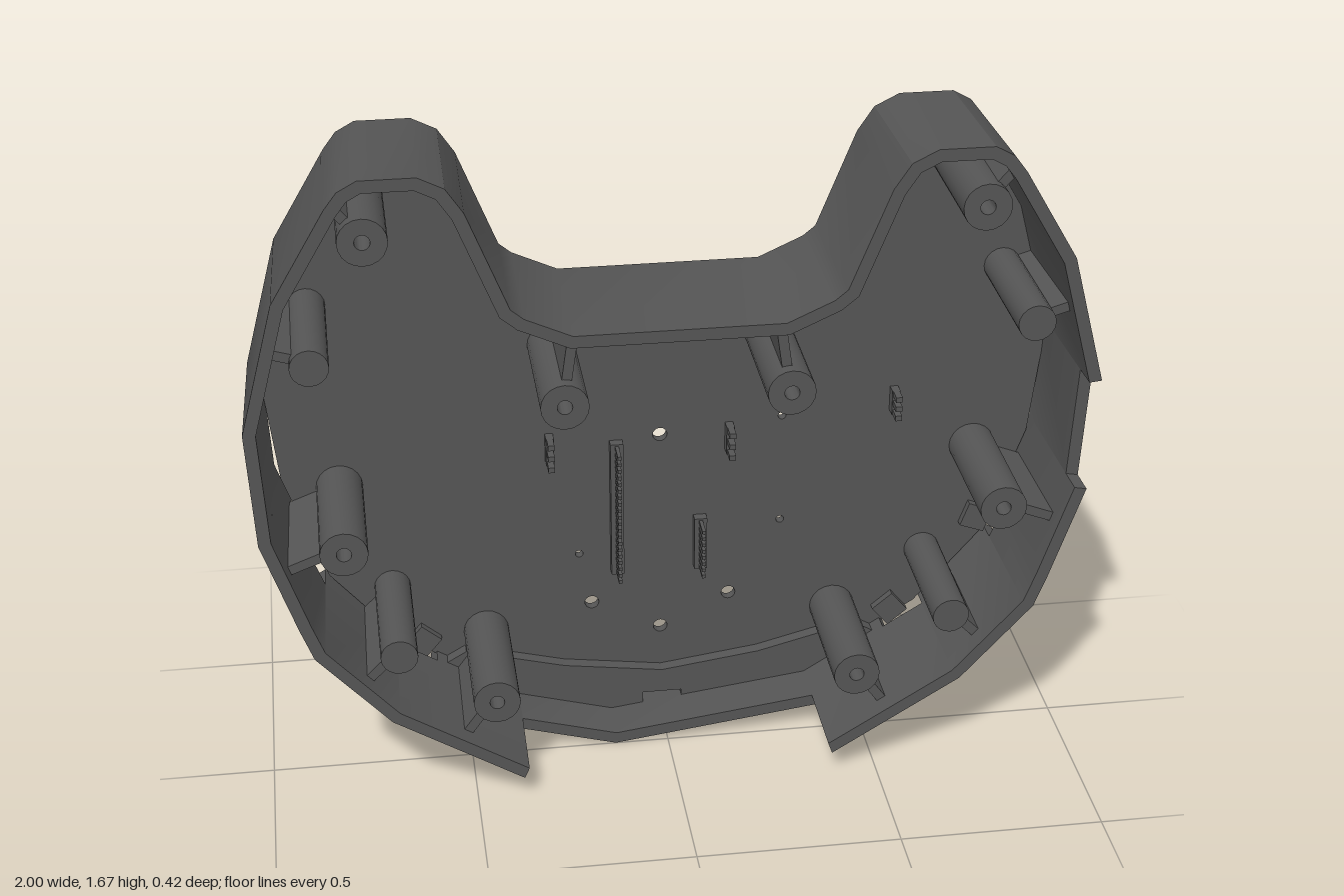
import * as THREE from 'three';
import { mergeGeometries, toCreasedNormals } from 'three/addons/utils/BufferGeometryUtils.js';

const FRONT = 0.21, BACK = -0.17, BOARD = -0.142;
const material = new THREE.MeshStandardMaterial({ color: 0x555555 });

export function createModel() {
  const model = new THREE.Group();
  const add = (geometry, name, x = 0, y = 0, z = 0, parent = model) => {
    const mesh = new THREE.Mesh(geometry, material);
    mesh.name = name;
    mesh.position.set(x, y, z);
    parent.add(mesh);
    return mesh;
  };
  const group = (name) => {
    const g = new THREE.Group();
    g.name = name;
    model.add(g);
    return g;
  };
  const mirror = (pts) => pts.map(([x, y]) => [-x, y]).reverse();

  // Outline of the housing, counterclockwise from the bottom
  const half = [[0.385, 0.07], [0.595, 0.2], [0.7, 0.265], [0.875, 0.46], [0.905, 0.54], [0.985, 0.78],
    [1, 1.07], [0.915, 1.39], [0.785, 1.61], [0.755, 1.65], [0.71, 1.675], [0.58, 1.675], [0.52, 1.645],
    [0.48, 1.585], [0.385, 1.345], [0.355, 1.32], [0.245, 1.27]];
  const H = half.length;
  const outline = [...half, ...mirror(half), [-0.135, 0]];
  const N = outline.length;

  // Point on the wall, moved inward along the corner bisector, with a slight draft to the back
  const wallPoint = (i, inset, z) => {
    const p = new THREE.Vector2(...outline[i % N]);
    const d1 = p.clone().sub(new THREE.Vector2(...outline[(i + N - 1) % N])).normalize();
    const d2 = new THREE.Vector2(...outline[(i + 1) % N]).sub(p).normalize();
    const n = new THREE.Vector2(-d1.y - d2.y, d1.x + d2.x).normalize();
    p.addScaledVector(n, inset / (n.x * -d1.y + n.y * d1.x));
    const s = 1 - 0.012 * (FRONT - z) / (FRONT - BACK);
    return [p.x * s, 0.9 + (p.y - 0.9) * s, z];
  };

  // Wall: one block per outline segment; shortened blocks form the openings
  const positions = [];
  const quad = (a, b, c, d) => positions.push(...a, ...b, ...c, ...a, ...c, ...d);
  const wallBlock = (i, back, front, t0, t1) => {
    const [oab, obb, obf, oaf] = [[i, back], [i + 1, back], [i + 1, front], [i, front]].map(([k, z]) => wallPoint(k, t0, z));
    const [iab, ibb, ibf, iaf] = [[i, back], [i + 1, back], [i + 1, front], [i, front]].map(([k, z]) => wallPoint(k, t1, z));
    quad(oab, obb, obf, oaf);
    quad(ibb, iab, iaf, ibf);
    quad(oaf, obf, ibf, iaf);
    quad(obb, oab, iab, ibb);
    quad(oab, oaf, iaf, iab);
    quad(obf, obb, ibb, ibf);
  };
  for (let i = 0; i < N; i++) {
    const seg = i < H ? i : 2 * H - 2 - i;
    const back = seg === 1 || seg === 3 ? -0.1 : BACK; // cable openings
    let front = FRONT;
    if (i >= 2 * H - 1) front = 0; // bottom cut-out
    if (i === 5) front = 0.14; // side notch
    wallBlock(i, back, front, 0, 0.03);
  }
  const wallGeometry = new THREE.BufferGeometry();
  wallGeometry.setAttribute('position', new THREE.Float32BufferAttribute(positions, 3));
  add(toCreasedNormals(wallGeometry, 0.5), 'housingWall');

  // Plates cut from a contour with round holes
  const plate = (pts, holes, z0, z1) => {
    const shape = new THREE.Shape(pts.map((p) => new THREE.Vector2(...p)));
    for (const [x, y, r] of holes) {
      const hole = new THREE.Path();
      hole.absarc(x, y, r, 0, Math.PI * 2, true);
      shape.holes.push(hole);
    }
    return new THREE.ExtrudeGeometry(shape, { depth: z1 - z0, bevelEnabled: false, curveSegments: 8 }).translate(0, 0, z0);
  };
  const bottomSlot = [[-0.13, 0.036], [-0.05, 0.045], [-0.05, 0.08], [0.05, 0.08], [0.05, 0.055]];

  // Back board, its edge a little away from the wall
  const boardHalf = [[0.37, 0.1], [0.66, 0.28], [0.83, 0.48], [0.93, 0.76], [0.957, 1.0], [0.94, 1.2], [0.87, 1.4],
    [0.755, 1.59], [0.7, 1.645], [0.59, 1.645], [0.54, 1.62], [0.505, 1.57], [0.41, 1.325], [0.365, 1.285], [0.25, 1.24]];
  const topGaps = [[0.05, 1.24], [0.05, 1.228], [-0.05, 1.228], [-0.05, 1.24]];
  const boardHoles = [[0, 0.815, 0.018], [-0.175, 0.345, 0.018], [0.175, 0.345, 0.018], [0, 0.26, 0.018],
    [-0.21, 0.905, 0.01], [0.305, 0.845, 0.01], [-0.205, 0.49, 0.01], [0.305, 0.55, 0.01],
    [0.84, 1.22, 0.015], [-0.84, 1.22, 0.015], [0.675, 0.435, 0.015], [-0.675, 0.435, 0.015]];
  add(plate([...boardHalf, ...topGaps, ...mirror(boardHalf), ...bottomSlot], boardHoles, -0.166, BOARD), 'backBoard');

  // Crescent ledge along the bottom of the board
  add(plate([[0.37, 0.09], [0.56, 0.21], [0.5, 0.245], [0.25, 0.18], [0, 0.145], [-0.25, 0.18], [-0.5, 0.245],
    [-0.56, 0.21], [-0.37, 0.09], ...bottomSlot], [], BOARD, -0.11), 'bottomLedge');

  // Posts, each tied to the wall by a rib: x, y, radius, hole radius, rib end
  const posts = group('posts');
  const postData = [[0.705, 1.52, 0.057, 0.018, 0.775, 1.6], [0.265, 1.08, 0.057, 0.018, 0.24, 1.25],
    [0.79, 0.73, 0.057, 0.018, 0.945, 0.67], [0.445, 0.285, 0.057, 0.018, 0.525, 0.175],
    [0.84, 1.22, 0.045, 0, 0.94, 1.25], [0.675, 0.435, 0.045, 0, 0.76, 0.35]];
  for (const side of [1, -1]) {
    for (const [x, y, r, hole, ex, ey] of postData) {
      const length = 0.19 - BOARD;
      const profile = hole
        ? [[0, length - 0.15], [hole, length - 0.15], [hole, length], [r, length], [r, 0]]
        : [[0, length], [r, length], [r, 0]];
      const geometry = new THREE.LatheGeometry(profile.reverse().map((p) => new THREE.Vector2(...p)), 20);
      add(toCreasedNormals(geometry.rotateX(Math.PI / 2), 0.6), hole ? 'screwPost' : 'plainPost', side * x, y, BOARD, posts);
      const dx = ex - x, dy = ey - y, reach = Math.hypot(dx, dy), start = r * 0.85;
      const rib = new THREE.BoxGeometry(reach - start, 0.024, 0.16 - BOARD);
      rib.translate((reach + start) / 2, 0, (0.16 - BOARD) / 2);
      add(rib, 'postRib', side * x, y, BOARD, posts).rotation.z = Math.atan2(dy, side * dx);
    }
  }

  // Pin headers on the inside of the board
  const pinHeader = (x, y, height, count, name) => {
    const parts = [new THREE.BoxGeometry(0.032, height, 0.025).translate(0, 0, 0.0125)];
    for (let i = 0; i < count; i++) {
      const py = ((i + 0.5) / count - 0.5) * height;
      parts.push(new THREE.BoxGeometry(0.009, 0.009, 0.06).translate(0, py, 0.05));
    }
    add(mergeGeometries(parts), name, x, y, BOARD);
  };
  pinHeader(-0.11, 0.622, 0.37, 20, 'longPinHeader');
  pinHeader(0.1, 0.508, 0.145, 8, 'shortPinHeader');

  // Small connectors: open-topped sockets with two prongs
  for (const [x, y, h] of [[-0.275, 0.8, 0.075], [0.172, 0.8, 0.075], [0.585, 0.875, 0.065]]) {
    const parts = [new THREE.BoxGeometry(0.02, h, 0.03).translate(0, 0, 0.015)];
    for (const s of [-1, 0, 1]) parts.push(new THREE.BoxGeometry(0.016, 0.014, 0.04).translate(0, s * (h / 2 - 0.007), 0.045));
    add(mergeGeometries(parts), 'connector', x, y, BOARD);
  }

  // Low cable seats beside the wall openings
  for (const [x, y, turn] of [[0.81, 0.525, -0.35], [0.595, 0.27, 0.7], [-0.605, 0.275, -0.7]]) {
    add(new THREE.BoxGeometry(0.065, 0.065, 0.02), 'cableSeat', x, y, BOARD + 0.01).rotation.z = turn;
  }

  // Display, buttons and lamps on the back
  const controls = group('backControls');
  add(new THREE.BoxGeometry(0.26, 0.18, 0.02), 'display', 0, 1.13, -0.172, controls);
  const backCylinder = (r0, r1, length) => toCreasedNormals(
    new THREE.CylinderGeometry(r1, r0, length, 14).rotateX(-Math.PI / 2).translate(0, 0, -length / 2), 0.6);
  for (const x of [-0.195, 0.195]) {
    for (const y of [1.155, 1.083]) {
      add(backCylinder(0.013, 0.013, 0.025), 'buttonStem', x, y, -0.165, controls);
      add(backCylinder(0.022, 0.019, 0.022), 'buttonCap', x, y, -0.187, controls);
    }
  }
  const lamps = [[-0.075, 1.022], [0.075, 1.022], ...[-2, -1, 0, 1, 2].map((i) => [i * 0.07, 0.925])];
  for (const [x, y] of lamps) add(new THREE.BoxGeometry(0.022, 0.02, 0.02), 'lamp', x, y, -0.175, controls);

  // Centre between front and back
  model.children.forEach((child) => { child.position.z -= 0; });
  return model;
}
